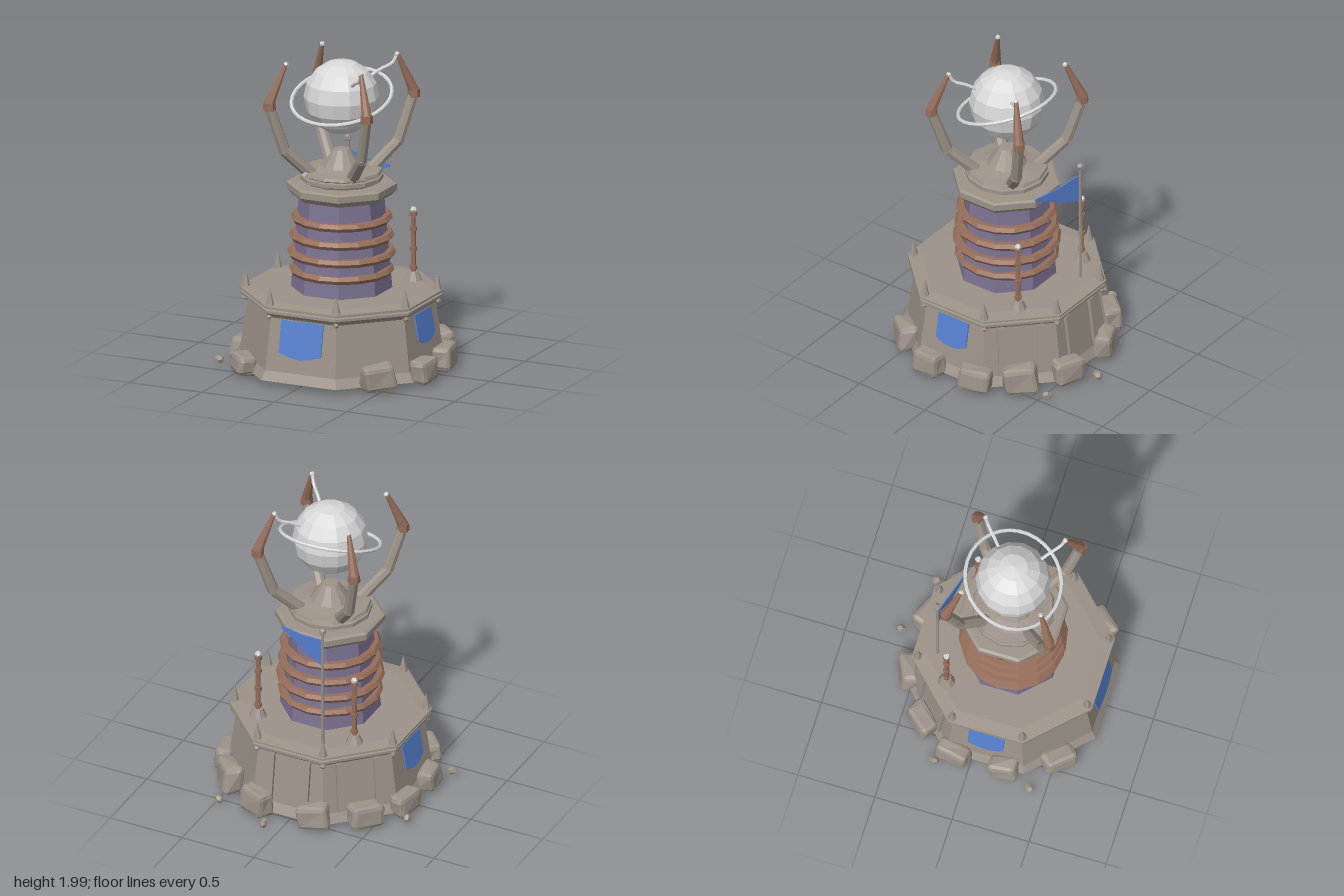
import * as THREE from 'three';
import { RoundedBoxGeometry } from 'three/addons/geometries/RoundedBoxGeometry.js';

const flat = (name, color) => {
  const m = new THREE.MeshStandardMaterial({ color, flatShading: true, side: THREE.DoubleSide });
  m.name = name;
  return m;
};

export function createModel() {
  const stone = flat('stone', 0x9c9388);
  const bronze = flat('bronze', 0x966e5b);
  const purple = flat('purple plaster', 0x7d7392);
  const silver = flat('silver', 0xd8d8d8);
  const blue = flat('blue cloth', 0x5580cf);

  const model = new THREE.Group();
  const tower = new THREE.Group();
  tower.name = 'tower';
  tower.position.set(0.02, 0, 0.085);
  model.add(tower);

  const V = (x, y, z) => new THREE.Vector3(x, y, z);
  const add = (name, geo, mat, x = 0, y = 0, z = 0, parent = tower) => {
    const m = new THREE.Mesh(geo, mat);
    m.name = name;
    m.position.set(x, y, z);
    parent.add(m);
    return m;
  };
  // Octagon from [apothem, y] pairs, with a flat side to the front
  const octagon = (name, pts, mat) => add(name, new THREE.LatheGeometry(
    pts.map(([r, y]) => new THREE.Vector2(r / Math.cos(Math.PI / 8), y)), 8, Math.PI / 8), mat);
  const round = (name, pts, mat, sides = 16) => add(name, new THREE.LatheGeometry(
    pts.map(([r, y]) => new THREE.Vector2(r, y)), sides), mat);
  // Tapered rod between two points
  const rod = (name, a, b, r0, r1, mat, sides = 8) => {
    const d = b.clone().sub(a);
    const mid = a.clone().add(b).multiplyScalar(0.5);
    const m = add(name, new THREE.CylinderGeometry(r1, r0, d.length(), sides), mat, mid.x, mid.y, mid.z);
    m.quaternion.setFromUnitVectors(V(0, 1, 0), d.normalize());
    return m;
  };
  const pebble = (name, x, y, z, r, mat, parent = tower) => {
    const m = add(name, new THREE.DodecahedronGeometry(r), mat, x, y, z, parent);
    m.rotation.set(x * 9, y * 5, z * 7);
    return m;
  };

  // Hollow base, moulded platform and tower body
  octagon('baseWall', [[0.615, 0.04], [0.585, 0.1], [0.54, 0.44]], stone);
  octagon('platform', [[0, 0.43], [0.54, 0.43], [0.55, 0.445], [0.58, 0.465], [0.58, 0.482],
    [0.565, 0.487], [0.565, 0.493], [0.585, 0.498], [0.585, 0.51], [0.5, 0.52], [0, 0.52]], stone);
  octagon('towerBody', [[0.292, 0.51], [0.243, 1.14]], purple);
  octagon('towerCap', [[0.24, 1.11], [0.285, 1.115], [0.317, 1.15], [0.317, 1.19], [0.3, 1.2], [0, 1.205]], stone);
  round('roof', [[0.22, 1.19], [0.23, 1.21], [0.26, 1.22], [0.26, 1.245], [0.24, 1.25], [0.258, 1.26],
    [0.25, 1.28], [0.19, 1.285], [0.125, 1.3], [0.05, 1.41], [0, 1.412]], stone, 12);
  for (const [y, r] of [[0.64, 0.328], [0.75, 0.34], [0.86, 0.328], [0.975, 0.318]]) {
    const ring = add('coilRing', new THREE.TorusGeometry(r - 0.032, 0.032, 6, 16), bronze, 0, y);
    ring.rotation.x = Math.PI / 2;
    ring.scale.z = 0.85;
  }

  // Corner spikes with studs under the rim
  for (let i = 0; i < 8; i++) {
    const a = (i + 0.5) * Math.PI / 4;
    const x = Math.sin(a), z = Math.cos(a);
    add('cornerSpike', new THREE.ConeGeometry(0.03, 0.12, 6), stone, 0.595 * x, 0.565, 0.595 * z);
    pebble('rimStud', 0.6 * x, 0.437, 0.6 * z, 0.018, stone);
  }

  // Ribs on the three rear faces
  for (const k of [3, 4, 5]) {
    const face = new THREE.Group();
    face.name = 'rearRibs';
    face.rotation.y = k * Math.PI / 4;
    tower.add(face);
    for (const s of [-1, 1]) {
      add('rib', new THREE.BoxGeometry(0.04, 0.33, 0.035), stone, s * 0.124, 0.27, 0.565, face)
        .rotation.x = -0.13;
    }
  }

  // Banners on the front and both flanks
  for (const [angle, w, h] of [[0, 0.145, 0.24], [Math.PI / 2, 0.115, 0.2], [-Math.PI / 2, 0.115, 0.2]]) {
    const s = new THREE.Shape([[-w, 0], [-w, 0.035 - h], [-w * 0.5, 0.01 - h], [0, -h],
      [w * 0.5, 0.01 - h], [w, 0.035 - h], [w, 0]].map(p => new THREE.Vector2(...p)));
    const holder = new THREE.Group();
    holder.name = 'bannerHolder';
    holder.rotation.y = angle;
    tower.add(holder);
    add('banner', new THREE.ExtrudeGeometry(s, { depth: 0.008, bevelEnabled: false }), blue,
      0, 0.43, 0.553, holder).rotation.x = -0.18;
  }

  // Four claws around the orb
  for (const sx of [-1, 1]) for (const sz of [-1, 1]) {
    const at = (d, y) => V(sx * d, y, sz * d);
    rod('clawFoot', at(0.13, 1.25), at(0.265, 1.43), 0.04, 0.036, stone);
    pebble('clawBend', sx * 0.265, 1.43, sz * 0.265, 0.037, stone);
    rod('clawArm', at(0.265, 1.43), at(0.335, 1.72), 0.036, 0.033, stone);
    rod('clawCollar', at(0.335, 1.7), at(0.335, 1.75), 0.04, 0.038, bronze, 6);
    rod('clawTip', at(0.335, 1.74), at(0.26, 1.985), 0.034, 0.013, bronze);
    pebble('clawPoint', sx * 0.258, 1.985, sz * 0.258, 0.017, silver);
    if (sx > 0) {
      // Wire hooks reach from the left claws to the orb
      const path = [at(0.258, 1.985), at(0.235, 1.93), at(0.185, 1.9), at(0.14, 1.865)];
      add('hookWire', new THREE.TubeGeometry(new THREE.CatmullRomCurve3(path), 8, 0.011, 6), silver);
    }
  }
  pebble('clawFootChip', -0.16, 1.275, 0.18, 0.025, silver);

  // Orb with its tilted hoop
  add('orb', new THREE.SphereGeometry(0.236, 14, 8), silver, 0, 1.745, 0);
  add('orbHoop', new THREE.TorusGeometry(0.316, 0.012, 6, 32), silver, 0, 1.745, 0)
    .rotation.x = Math.PI / 2 + 0.345;

  // Two bronze rods at the rear of the platform
  for (const s of [-1, 1]) {
    const x = s * 0.335, z = -0.33;
    add('rodFoot', new THREE.CylinderGeometry(0.03, 0.058, 0.06, 8), stone, x, 0.545, z);
    add('rodShaft', new THREE.CylinderGeometry(0.014, 0.016, 0.4, 6), bronze, x, 0.76, z);
    for (const y of [0.6, 0.72, 0.85, 0.945]) {
      add('rodCollar', new THREE.CylinderGeometry(0.023, 0.023, 0.025, 6), bronze, x, y, z);
    }
    pebble('rodTip', x, 0.972, z, 0.021, silver);
  }

  // Flag pole with a pennant
  add('flagPole', new THREE.CylinderGeometry(0.01, 0.011, 0.83, 6), stone, -0.15, 0.915, -0.355, model);
  pebble('poleFinial', -0.15, 1.345, -0.355, 0.024, stone, model);
  const pennant = new THREE.Shape([[0, 1.09], [0.12, 1.12], [0.25, 1.18], [0.35, 1.222], [0.35, 1.238],
    [0.18, 1.245], [0, 1.28]].map(p => new THREE.Vector2(...p)));
  add('pennant', new THREE.ExtrudeGeometry(pennant, { depth: 0.008, bevelEnabled: false }), blue,
    -0.15, 0, -0.355, model).rotation.y = -0.28;

  // Boulders round the foot: x, z, width, height, depth, turn
  const rocks = [
    [-0.17, -0.53, 0.2, 0.16, 0.13, 0.1], [0.22, -0.53, 0.2, 0.16, 0.13, -0.1],
    [-0.45, -0.36, 0.21, 0.15, 0.14, 0.05], [0.49, -0.36, 0.21, 0.18, 0.14, -0.05],
    [-0.6, -0.11, 0.21, 0.14, 0.12, 0.1], [0.63, -0.12, 0.21, 0.15, 0.13, -0.1],
    [-0.6, 0.21, 0.18, 0.14, 0.13, -0.12], [0.65, 0.22, 0.19, 0.15, 0.13, 0.12],
    [-0.44, 0.52, 0.21, 0.12, 0.14, 0], [0.48, 0.52, 0.21, 0.16, 0.14, 0]];
  rocks.forEach(([x, z, w, h, d, turn], i) => {
    const geo = new RoundedBoxGeometry(w, h, d, 1, 0.03);
    const p = geo.attributes.position;
    for (let j = 0; j < p.count; j++) {
      const px = p.getX(j), py = p.getY(j), pz = p.getZ(j);
      const k = 1 + 0.07 * Math.sin(i * 2.1 + px * 19 + py * 23 + pz * 31);
      p.setXYZ(j, px * k, py * k, pz * k * (py > 0 ? 0.88 : 1));
    }
    const rock = add('boulder', geo, [stone, stone, stone, bronze, stone, stone], x, 0.02 + h / 2, z, model);
    rock.rotation.set(0.06 * Math.sin(i * 3), Math.atan2(x - 0.02, z - 0.085) + turn, 0.06 * Math.cos(i * 2));
  });
  for (const [x, z] of [[0.1, -0.67], [0.47, -0.55], [-0.67, -0.22], [-0.67, 0.4]]) {
    pebble('looseStone', x, 0.045, z, 0.033, stone, model).scale.y = 0.75;
  }
  return model;
}
